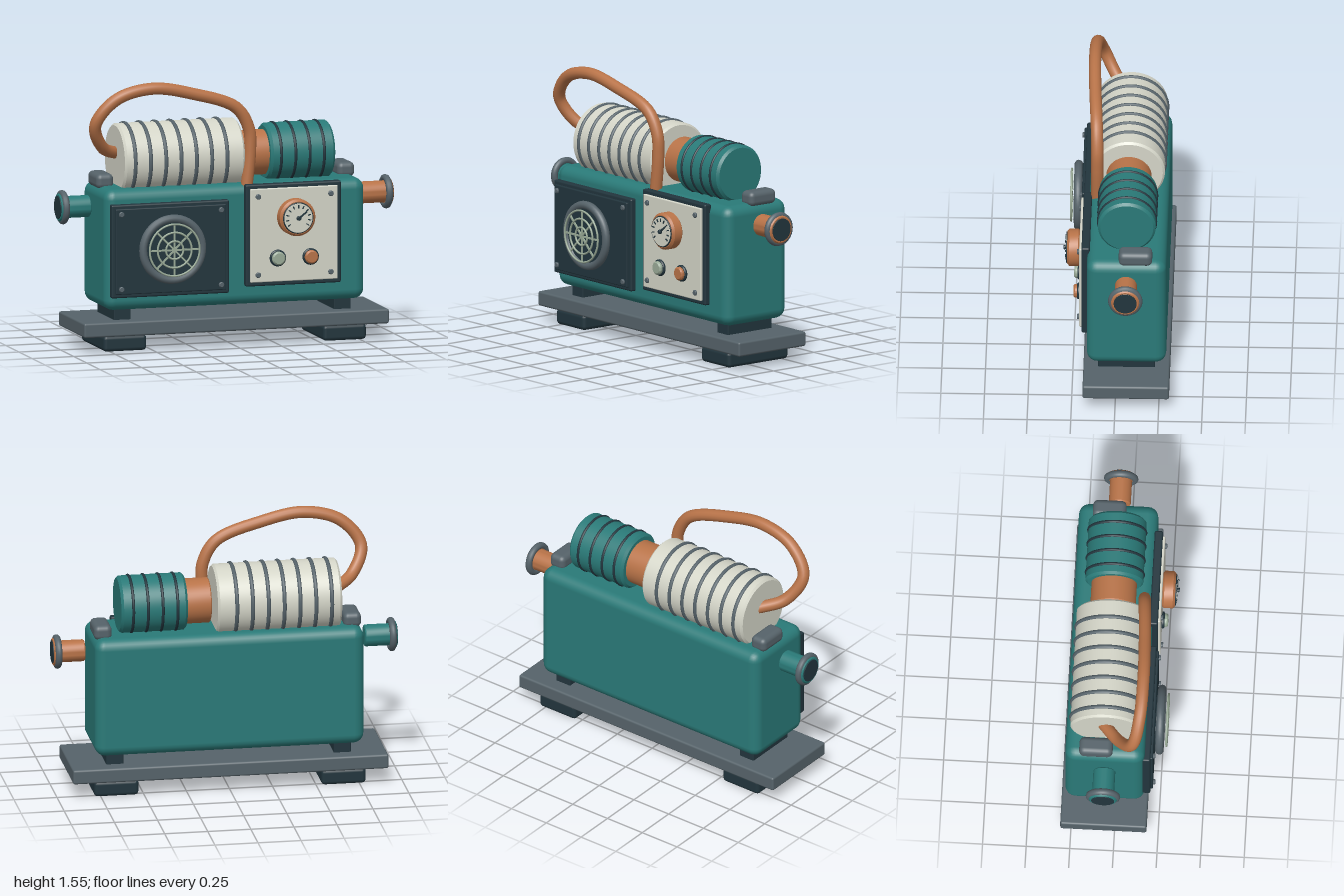
import * as THREE from 'three';
import { toCreasedNormals } from 'three/addons/utils/BufferGeometryUtils.js';
import { RoundedBoxGeometry } from 'three/addons/geometries/RoundedBoxGeometry.js';

const material = (name, color) => {
  const m = new THREE.MeshStandardMaterial({ color });
  m.name = name;
  return m;
};

export function createModel() {
  const teal = material('teal paint', 0x2a7a78);
  const dark = material('dark rubber', 0x22353d);
  const grey = material('grey steel', 0x56636a);
  const copper = material('copper', 0xb87348);
  const cream = material('cream enamel', 0xd4d5c8);
  const sage = material('sage metal', 0x9aab98);

  const model = new THREE.Group();
  model.name = 'pumpUnit';
  const midZ = -0.0615;

  const add = (name, geometry, mat, x = 0, y = 0, z = 0, parent = model) => {
    const mesh = new THREE.Mesh(geometry, mat);
    mesh.name = name;
    mesh.position.set(x, y, z);
    parent.add(mesh);
    return mesh;
  };
  const group = (name, x, y, z) => {
    const g = new THREE.Group();
    g.name = name;
    g.position.set(x, y, z);
    model.add(g);
    return g;
  };
  // Box given by its limits, with softened edges
  const box = (name, mat, [x0, x1], [y0, y1], [z0, z1], radius, segments = 2) =>
    add(name, new RoundedBoxGeometry(x1 - x0, y1 - y0, z1 - z0, segments, radius), mat,
      (x0 + x1) / 2, (y0 + y1) / 2, (z0 + z1) / 2);
  // Solid disc or drum with bevelled rims, running along +y from 0
  const drum = (r, h, bevel = 0.006, sides = 40) => {
    const points = [[0, 0], [r - bevel, 0], [r, bevel], [r, h - bevel], [r - bevel, h], [0, h]];
    const lathe = new THREE.LatheGeometry(points.map(p => new THREE.Vector2(...p)), sides);
    return toCreasedNormals(lathe, 0.6);
  };
  const drumX = (...args) => drum(...args).rotateZ(-Math.PI / 2);
  const drumZ = (...args) => drum(...args).rotateX(Math.PI / 2);
  const ring = (r, tube) => new THREE.TorusGeometry(r, tube, 10, 48);
  const ringX = (r, tube) => ring(r, tube).rotateY(Math.PI / 2);

  // Base and main housing
  box('basePlate', grey, [-0.915, 0.915], [0.09, 0.175], [-0.31, 0.185], 0.012);
  box('housing', teal, [-0.78, 0.78], [0.235, 0.935], [-0.29, 0.165], 0.06, 3);
  for (const s of [-1, 1]) {
    const span = (a, b) => (s > 0 ? [a, b] : [-b, -a]);
    box('foot', dark, span(0.53, 0.788), [0, 0.092], [-0.285, 0.157], 0.022);
    box('spacer', dark, span(0.61, 0.71), [0.17, 0.245], [-0.225, 0.1], 0.006);
    box('liftingLug', grey, span(0.672, 0.775), [0.915, 1.002], [-0.21, -0.018], 0.03, 3);
  }

  // Front panels: frame, face plate and corner screws
  const panel = (name, plateMat, xs, ys, inset, screwInset) => {
    box(name + 'Frame', dark, xs, ys, [0.15, 0.198], 0.01);
    const shrink = ([a, b], d) => [a + d, b - d];
    box(name + 'Plate', plateMat, shrink(xs, inset), shrink(ys, inset), [0.18, 0.212], 0.006);
    for (const x of shrink(xs, screwInset))
      for (const y of shrink(ys, screwInset))
        add(name + 'Screw', drumZ(0.016, 0.015, 0.004, 12), grey, x, y, 0.21);
  };
  panel('speakerPanel', dark, [-0.755, -0.05], [0.315, 0.855], 0.022, 0.053);
  panel('gaugePanel', cream, [0.05, 0.622], [0.345, 0.935], 0.024, 0.068);

  // Round vent with a grille of rings and spokes
  const vent = group('vent', -0.403, 0.592, 0);
  add('ventBack', drumZ(0.18, 0.04), dark, 0, 0, 0.21, vent);
  add('ventRim', ring(0.177, 0.024), grey, 0, 0, 0.24, vent);
  for (const r of [0.052, 0.102, 0.15]) add('grilleRing', ring(r, 0.006), sage, 0, 0, 0.279, vent);
  for (let i = 0; i < 4; i++) {
    const spoke = add('grilleSpoke', new THREE.BoxGeometry(0.305, 0.01, 0.008), sage, 0, 0, 0.275, vent);
    spoke.rotation.z = i * Math.PI / 4;
  }

  // Pressure gauge
  const gauge = group('gauge', 0.336, 0.744, 0);
  add('gaugeCase', drumZ(0.107, 0.075, 0.012), copper, 0, 0, 0.21, gauge);
  add('gaugeBezel', ring(0.086, 0.005), dark, 0, 0, 0.286, gauge);
  add('gaugeFace', drumZ(0.085, 0.008, 0.001), cream, 0, 0, 0.284, gauge);
  for (let i = 0; i < 11; i++) {
    const a = THREE.MathUtils.degToRad(-35 + i * 25);
    const tick = add('gaugeTick', new THREE.BoxGeometry(0.018, 0.006, 0.006), dark,
      0.067 * Math.cos(a), 0.067 * Math.sin(a), 0.294, gauge);
    tick.rotation.z = a;
  }
  const needle = add('gaugeNeedle', new THREE.BoxGeometry(0.065, 0.009, 0.006), dark, 0.022, 0.017, 0.3, gauge);
  needle.rotation.z = 0.65;
  add('gaugeHub', drumZ(0.013, 0.016, 0.003, 16), dark, 0, 0, 0.292, gauge);

  // Two round buttons
  for (const [x, mat] of [[0.235, sage], [0.432, copper]]) {
    add('buttonCollar', drumZ(0.048, 0.02), dark, x, 0.507, 0.208);
    add('button', drumZ(0.039, 0.036, 0.008), mat, x, 0.507, 0.212);
  }

  // Side ports, mirrored by turning about y
  for (const [s, mat] of [[1, copper], [-1, teal]]) {
    const port = group(s > 0 ? 'leftPort' : 'rightPort', 0, 0.817, midZ);
    if (s < 0) port.rotation.y = Math.PI;
    add('portPipe', drumX(0.063, 0.16), mat, 0.812, 0, 0, port);
    add('portRim', ringX(0.079, 0.02), grey, 0.97, 0, 0, port);
    add('portLip', drumX(0.082, 0.04, 0.008), mat, 0.956, 0, 0, port);
    add('portOpening', drumX(0.066, 0.006, 0.001), dark, 0.994, 0, 0, port);
  }

  // Ribbed drums and their coupling on top
  const top = group('topDrums', 0, 1.082, midZ);
  add('largeDrum', drumX(0.205, 0.721, 0.012, 56), cream, -0.655, 0, 0, top);
  for (let i = 0; i < 7; i++) add('largeDrumBand', ringX(0.203, 0.012), grey, -0.594 + i * 0.0918, 0, 0, top);
  add('coupling', drumX(0.13, 0.15), copper, 0.09, 0, 0, top);
  add('smallDrum', drumX(0.166, 0.386, 0.014, 48), teal, 0.234, 0, 0, top);
  for (let i = 0; i < 4; i++) add('smallDrumBand', ringX(0.164, 0.009), dark, 0.294 + i * 0.0857, 0, 0, top);

  // Bent copper pipe from the large drum to the housing
  const path = new THREE.CatmullRomCurve3([
    [-0.63, 1.11, -0.08], [-0.755, 1.165, 0.02], [-0.822, 1.31, 0.1], [-0.71, 1.455, 0.135],
    [-0.5, 1.512, 0.145], [-0.25, 1.47, 0.14], [0.015, 1.375, 0.125], [0.092, 1.25, 0.12],
    [0.1, 1.13, 0.12], [0.078, 0.91, 0.12],
  ].map(p => new THREE.Vector3(...p)));
  add('bentPipe', new THREE.TubeGeometry(path, 90, 0.035, 14), copper);

  return model;
}
